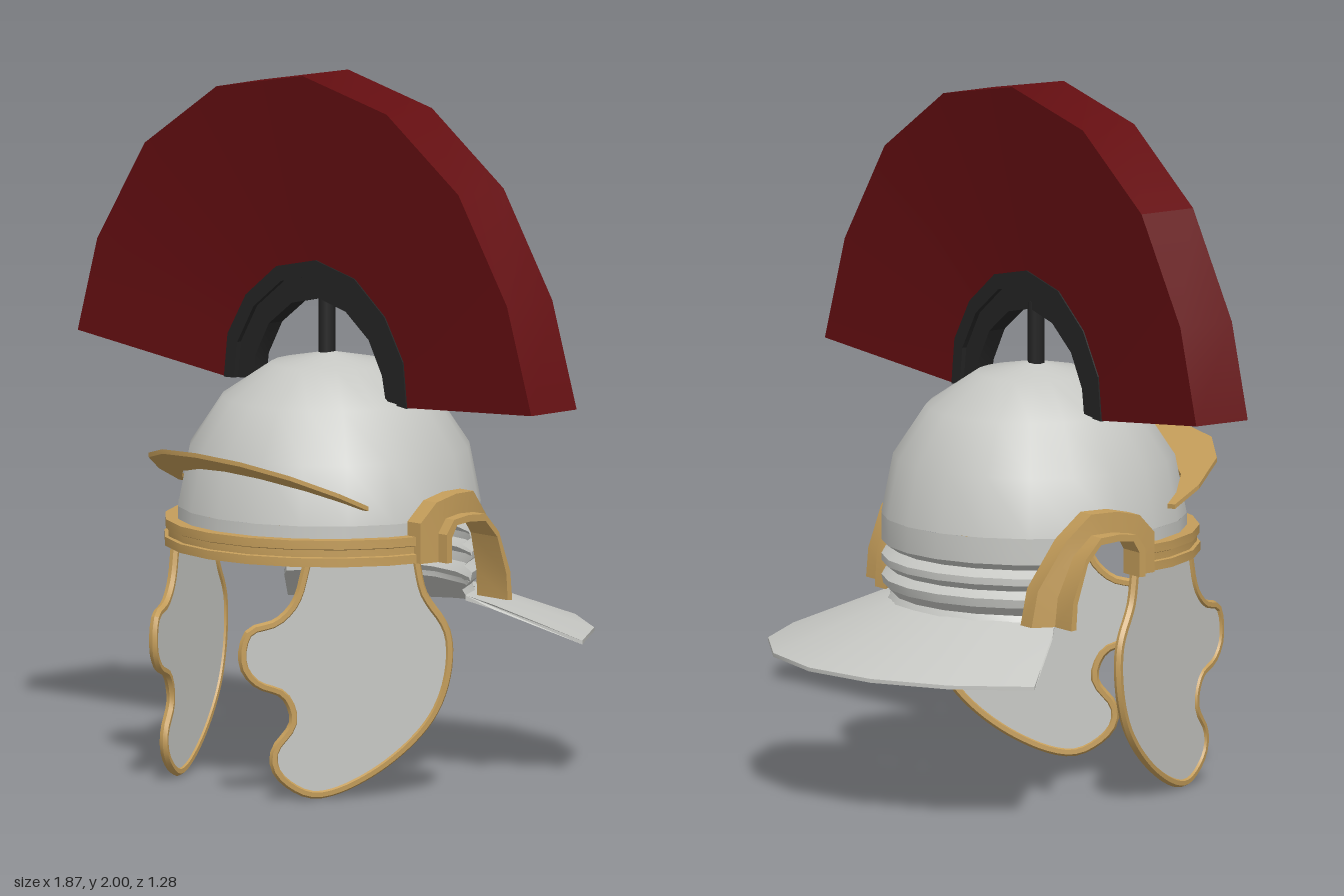
import * as THREE from 'three';
import { toCreasedNormals } from 'three/addons/utils/BufferGeometryUtils.js';

const V = (x, y, z) => new THREE.Vector3(x, y, z);
const CZ = 0.12; // z of the bowl's axis
const rad = THREE.MathUtils.degToRad;

// Make a closed solid face outwards, then give it creased normals
function solid(geo) {
  const g = geo.index ? geo.toNonIndexed() : geo.clone();
  const p = g.attributes.position;
  const a = V(), b = V(), c = V();
  let volume = 0;
  for (let i = 0; i < p.count; i += 3) {
    a.fromBufferAttribute(p, i);
    b.fromBufferAttribute(p, i + 1);
    c.fromBufferAttribute(p, i + 2);
    volume += a.dot(b.cross(c));
  }
  if (volume < 0) {
    for (let i = 0; i < p.count; i += 3) {
      b.fromBufferAttribute(p, i + 1);
      c.fromBufferAttribute(p, i + 2);
      p.setXYZ(i + 1, c.x, c.y, c.z);
      p.setXYZ(i + 2, b.x, b.y, b.z);
    }
  }
  g.deleteAttribute('uv');
  g.deleteAttribute('normal');
  return toCreasedNormals(g, 0.4);
}

// Skin a row of equal cross-sections and cap both ends
function loft(rings) {
  const n = rings[0].length, last = (rings.length - 1) * n, index = [];
  for (let r = 0; r < rings.length - 1; r++) {
    for (let i = 0; i < n; i++) {
      const a = r * n + i, b = r * n + (i + 1) % n;
      index.push(a, b, a + n, b, b + n, a + n);
    }
  }
  for (let i = 1; i < n - 1; i++) {
    index.push(0, i + 1, i, last, last + i, last + i + 1);
  }
  const g = new THREE.BufferGeometry().setFromPoints(rings.flat());
  g.setIndex(index);
  return solid(g);
}

// Lathe around the bowl's axis; 0 degrees is the front
function turned(profile, from, to, segments) {
  const pts = profile.map(([r, y]) => new THREE.Vector2(r, y));
  const g = new THREE.LatheGeometry(pts, segments, rad(from), rad(to - from));
  return g.translate(0, 0, CZ);
}

export function createModel() {
  const model = new THREE.Group();
  const mat = (name, color) => {
    const m = new THREE.MeshStandardMaterial({ color, side: THREE.DoubleSide });
    m.name = name;
    return m;
  };
  const steel = mat('steel', 0xc6c7c3);
  const brass = mat('brass', 0xc49d5a);
  const red = mat('crestRed', 0x640e11);
  const black = mat('black', 0x242424);

  const add = (name, geo, material) => {
    const m = new THREE.Mesh(geo, material);
    m.name = name;
    model.add(m);
  };
  const addPair = (name, geo, material) => {
    add(name + 'Left', geo, material);
    add(name + 'Right', solid(geo.clone().scale(-1, 1, 1)), material);
  };

  // Bowl: a hemisphere, with a skirt at the front
  const dome = [];
  for (let i = 0; i <= 4; i++) {
    const t = rad(22.5 * i);
    dome.push([Math.max(0.43 * Math.cos(t), 0), 0.775 + 0.435 * Math.sin(t)]);
  }
  add('bowl', turned(dome, 0, 360, 20), steel);
  add('frontSkirt', turned([[0.432, 0.67], [0.43, 0.775]], -87, 87, 10), steel);

  // Ribbed neck at the back
  const ribs = [[0.42, 0.52], [0.4, 0.55], [0.425, 0.575], [0.43, 0.6], [0.405, 0.62],
    [0.43, 0.64], [0.43, 0.66], [0.4, 0.68], [0.43, 0.7], [0.43, 0.775]];
  add('ribbedNeck', toCreasedNormals(turned(ribs, 116, 244, 8), 0.4), steel);

  // Brow band with two raised edges
  const bandProfile = [[0.43, 0.665], [0.468, 0.665], [0.468, 0.69], [0.458, 0.692],
    [0.458, 0.712], [0.466, 0.715], [0.466, 0.74], [0.43, 0.74]];
  add('browBand', toCreasedNormals(turned(bandProfile, -85, 85, 10), 0.4), brass);

  // Tilted crescent peak above the brow: outer x, z, inner x, z
  const peakHalf = [[0, 0.635, 0, 0.52], [0.16, 0.615, 0.13, 0.5], [0.29, 0.545, 0.25, 0.45],
    [0.37, 0.43, 0.33, 0.38], [0.39, 0.335, 0.36, 0.33]];
  const peak = [
    ...peakHalf.slice(1).reverse().map(([a, b, c, d]) => [-a, b, -c, d]),
    ...peakHalf,
  ];
  const tilt = (z) => 0.82 + (z - 0.335) * 0.465;
  add('browPeak', loft(peak.map(([ox, oz, ix, iz]) => [
    V(ox, tilt(oz), oz), V(ox, tilt(oz) + 0.013, oz),
    V(ix, tilt(iz) + 0.013, iz), V(ix, tilt(iz), iz),
  ])), brass);

  // Flared neck guard
  const flare = [];
  for (let i = -3; i <= 3; i++) {
    const k = Math.abs(i) / 3;
    const at = (r, y, deg) => {
      const a = rad(deg * i / 3);
      return V(r * Math.sin(a), y, CZ - r * Math.cos(a));
    };
    const outer = 0.765 - 0.035 * k * k;
    flare.push([
      at(0.41, 0.535, 64), at(0.485, 0.51, 62), at(outer, 0.408, 56),
      at(outer, 0.397, 56), at(0.485, 0.497, 62), at(0.41, 0.52, 64),
    ]);
  }
  add('neckGuard', loft(flare), steel);

  // Ear arches: a plate on the bowl with a lip standing out (outer z, y, inner z, y)
  const arch = [[0.21, 0.665, 0.13, 0.665], [0.21, 0.78, 0.13, 0.735], [0.155, 0.835, 0.11, 0.77],
    [0.08, 0.852, 0.06, 0.775], [0, 0.85, 0.0, 0.77], [-0.07, 0.775, -0.045, 0.72],
    [-0.14, 0.635, -0.08, 0.61], [-0.155, 0.53, -0.085, 0.535]];
  const skinX = (z) => Math.sqrt(0.48 ** 2 - (z - CZ) ** 2);
  addPair('earArch', loft(arch.map(([oz, oy, iz, iy]) => {
    const jz = iz + (oz - iz) * 0.25, jy = iy + (oy - iy) * 0.25;
    const xo = skinX(oz), xi = skinX(iz);
    return [
      V(xi, jy, jz), V(0.515, jy, jz), V(0.515, iy, iz),
      V(xi - 0.045, iy, iz), V(xo - 0.055, oy, oz), V(xo, oy, oz),
    ];
  })), brass);

  // Cheek guards: slanting plates with a rim (z, y)
  const cheekPoints = [[0.46, 0.67], [0.49, 0.56], [0.54, 0.505], [0.61, 0.48], [0.625, 0.39],
    [0.59, 0.335], [0.52, 0.3], [0.495, 0.22], [0.545, 0.135], [0.535, 0.075], [0.46, 0.016],
    [0.395, 0.018], [0.26, 0.09], [0.145, 0.21], [0.1, 0.33], [0.1, 0.46], [0.16, 0.57], [0.18, 0.67]];
  const cheekX = (z) => 0.465 - 0.525 * (z - 0.09);
  const outline = new THREE.CatmullRomCurve3(cheekPoints.map(([z, y]) => V(z, y, 0))).getPoints(50);
  const plate = new THREE.ExtrudeGeometry(new THREE.Shape(outline.map((p) => new THREE.Vector2(p.x, p.y))),
    { depth: 0.012, bevelEnabled: false });
  const pp = plate.attributes.position;
  for (let i = 0; i < pp.count; i++) {
    const z = pp.getX(i);
    pp.setXYZ(i, cheekX(z) + pp.getZ(i) - 0.006, pp.getY(i), z);
  }
  addPair('cheekGuard', solid(plate), steel);
  const rimPath = new THREE.CatmullRomCurve3(outline.map((p) => V(cheekX(p.x), p.y, p.x)));
  addPair('cheekRim', solid(new THREE.TubeGeometry(rimPath, 70, 0.013, 6)), brass);

  // Crest: holder arc, post and tapering plume (x, y)
  const plumeOuter = [[-0.935, 1.17], [-0.855, 1.44], [-0.66, 1.735], [-0.365, 1.93], [-0.01, 2],
    [0.335, 1.93], [0.63, 1.735], [0.83, 1.44], [0.93, 1.14]];
  const holderOuter = [[-0.385, 1.095], [-0.37, 1.22], [-0.295, 1.34], [-0.17, 1.435], [-0.01, 1.47],
    [0.15, 1.435], [0.275, 1.34], [0.35, 1.22], [0.365, 1.09]];
  const holderInner = [[-0.28, 1.1], [-0.27, 1.17], [-0.215, 1.265], [-0.12, 1.335], [-0.01, 1.36],
    [0.1, 1.335], [0.195, 1.265], [0.25, 1.17], [0.265, 1.1]];
  const mix = (a, b, t) => [a[0] + (b[0] - a[0]) * t, a[1] + (b[1] - a[1]) * t];
  const across = (p, w) => [V(p[0], p[1], CZ + 0.006 - w), V(p[0], p[1], CZ + 0.006 + w)];

  add('plume', loft(plumeOuter.map((o, i) => {
    const inner = mix(holderOuter[i], holderInner[i], 0.1);
    return [...across(inner, 0.035), ...across(o, 0.0875).reverse()];
  })), red);
  add('crestHolder', loft(holderOuter.map((o, i) => {
    const h = holderInner[i], m = mix(o, h, 0.4);
    const [a, b] = across(o, 0.04), [c, d] = across(m, 0.04);
    const [e, f] = across(m, 0.026), [g, k] = across(h, 0.026);
    return [a, b, d, f, k, g, e, c];
  })), black);
  add('crestPost', new THREE.CylinderGeometry(0.024, 0.024, 0.2, 8).translate(-0.01, 1.28, CZ), black);

  return model;
}
